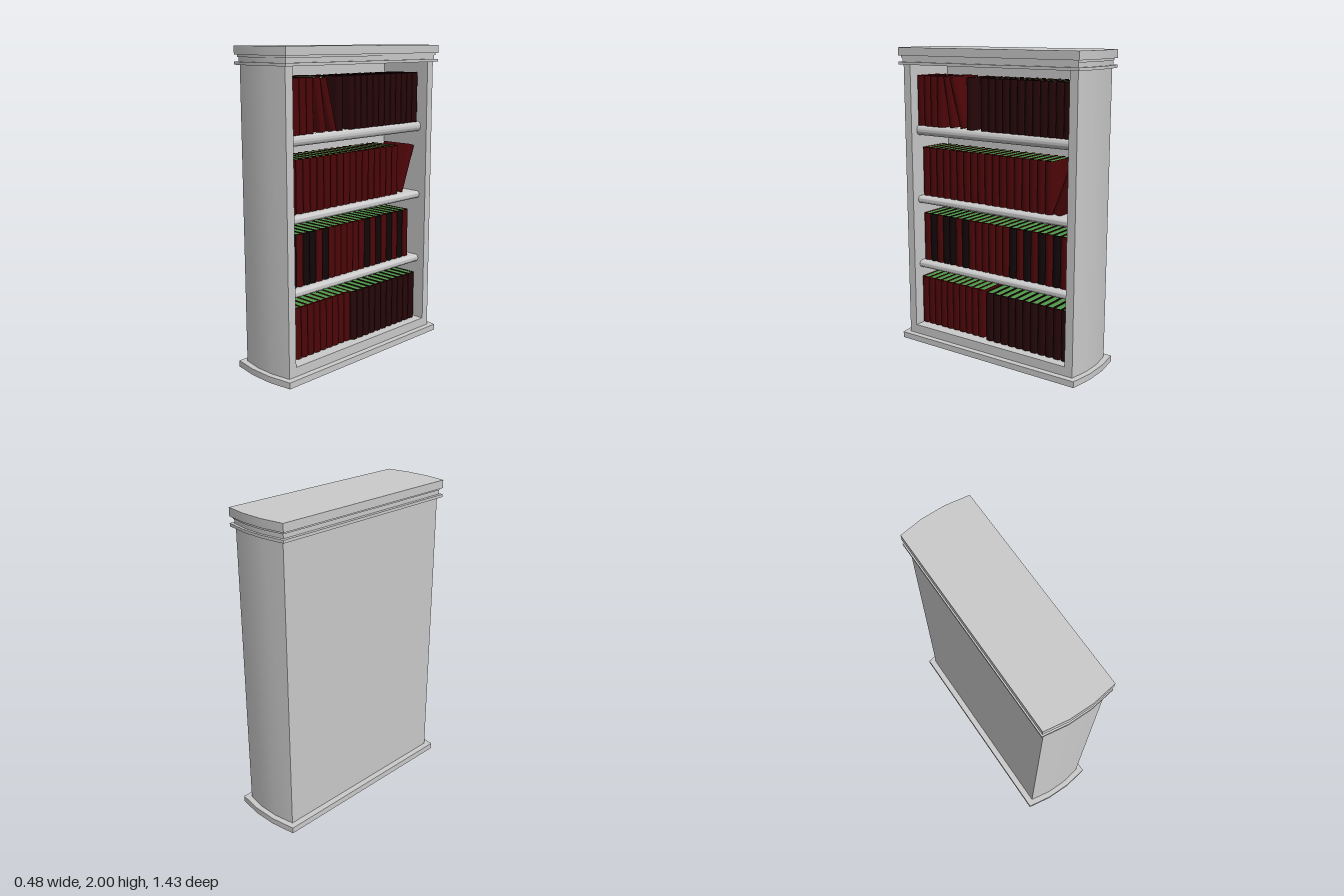
import * as THREE from 'three';
import { toCreasedNormals } from 'three/addons/utils/BufferGeometryUtils.js';

const mat = (color) => new THREE.MeshStandardMaterial({ color });
const grey = mat(0xcccccc);
const colors = { R: mat(0x4c0508), D: mat(0x260608), K: mat(0x120608) };
const pageMat = mat(0x4f9a4a);

// Extrude a plan outline (x, z) upwards from y = 0
function rise(points, height) {
  const shape = new THREE.Shape(points.map(([x, z]) => new THREE.Vector2(x, -z)));
  const geo = new THREE.ExtrudeGeometry(shape, { depth: height, bevelEnabled: false });
  return toCreasedNormals(geo.rotateX(-Math.PI / 2), 0.5);
}

function add(parent, name, geo, material, x = 0, y = 0, z = 0) {
  const mesh = new THREE.Mesh(geo, material);
  mesh.name = name;
  mesh.position.set(x, y, z);
  parent.add(mesh);
}

// Bowed end: corners at zc, bulging to zb in the middle
const bow = (hx, zc, zb) => [[hx, zc], [hx * 0.33, zb], [-hx * 0.33, zb], [-hx, zc]];
const flipZ = (pts) => pts.map(([x, z]) => [x, -z]).reverse();
const plan = (hx, zc, zb) => [...bow(hx, zc, zb), ...flipZ(bow(hx, zc, zb))];

const H = 0.33, T = 0.0535, DEPTH = 0.24;

// Cover wraps the pages, with a rounded spine at +x
function coverGeometry() {
  const h = T / 2, c = 0.005, r = 0.018, pts = [];
  for (let i = 0; i <= 8; i++) {
    const a = -Math.PI / 2 + (Math.PI * i) / 8;
    pts.push([-r + r * Math.cos(a), h * Math.sin(a)]);
  }
  pts.push([-DEPTH, h], [-DEPTH, h - c], [-r, h - c], [-r, c - h], [-DEPTH, c - h]);
  pts.push([-DEPTH, -h]);
  return rise(pts, H);
}

// Shelf with a rounded nose, running along z
function shelfGeometry(thick, length) {
  const shape = new THREE.Shape();
  shape.moveTo(-0.18, -thick / 2);
  shape.lineTo(0.125, -thick / 2);
  shape.absellipse(0.125, 0, 0.025, thick / 2, -Math.PI / 2, Math.PI / 2);
  shape.lineTo(-0.18, thick / 2);
  const geo = new THREE.ExtrudeGeometry(shape, { depth: length, bevelEnabled: false, curveSegments: 10 });
  return toCreasedNormals(geo.translate(0, 0, -length / 2), 0.7);
}

export function createModel() {
  const model = new THREE.Group();
  model.name = 'bookcase';

  // Plinth and cornice mouldings: [name, half width, corner z, bulge z, y0, y1]
  [
    ['base', 0.24, 0.69, 0.715, 0, 0.04],
    ['lowerCornice', 0.228, 0.677, 0.7, 1.89, 1.908],
    ['corniceNeck', 0.207, 0.66, 0.685, 1.908, 1.935],
    ['corniceStep', 0.213, 0.665, 0.69, 1.935, 1.948],
    ['topCap', 0.228, 0.677, 0.7, 1.948, 2],
  ].forEach(([name, hx, zc, zb, y0, y1]) =>
    add(model, name, rise(plan(hx, zc, zb), y1 - y0), grey, 0, y0));

  // Carcass open towards +x, with a raised floor
  const carcass = [
    ...plan(0.2, 0.657, 0.68),
    [0.2, -0.602], [-0.18, -0.602], [-0.18, 0.602], [0.2, 0.602],
  ];
  add(model, 'carcass', rise(carcass, 1.85), grey, 0, 0.04);
  add(model, 'floor', new THREE.BoxGeometry(0.38, 0.06, 1.204), grey, 0.01, 0.07);

  // Shelves
  [[0.505, 0.555], [0.96, 1.01], [1.425, 1.49]].forEach(([y0, y1]) =>
    add(model, 'shelf', shelfGeometry(y1 - y0, 1.204), grey, 0, (y0 + y1) / 2));

  // Books
  const cover = coverGeometry();
  const pages = new THREE.BoxGeometry(DEPTH - 0.026, H - 0.008, T - 0.01);
  function book(kind, x, y, z, lean = 0) {
    const g = new THREE.Group();
    g.name = 'book';
    add(g, 'bookCover', cover, colors[kind]);
    add(g, 'bookPages', pages, pageMat, -DEPTH / 2 - 0.006, H / 2);
    g.position.set(x, y + (T / 2) * Math.abs(Math.sin(lean)), z);
    g.rotation.x = lean;
    model.add(g);
  }
  // Row of upright books from z = start towards -z
  function row(kinds, x, y, start, end) {
    const pitch = (start - end) / kinds.length;
    [...kinds].forEach((k, i) => book(k, x, y, start - pitch * (i + 0.5)));
  }

  // Top shelf
  row('RRRR', 0.145, 1.49, 0.602, 0.38);
  book('R', 0.145, 1.49, 0.303, 0.15);
  book('R', 0.145, 1.49, 0.217, 0.26);
  book('D', 0.145, 1.49, 0.163);
  row('D'.repeat(12), 0.145, 1.49, 0.08, -0.58);
  // Third shelf
  row('R'.repeat(18), 0.105, 1.01, 0.602, -0.433);
  book('R', 0.105, 1.01, -0.462, -0.36);
  // Second shelf
  row('RKRKKRKRRRRRRKRKRKRKR', 0.105, 0.555, 0.602, -0.549);
  // Bottom
  row('R'.repeat(10), 0.14, 0.11, 0.598, 0.062);
  row('D'.repeat(11), 0.14, 0.1, 0.05, -0.586);

  return model;
}
